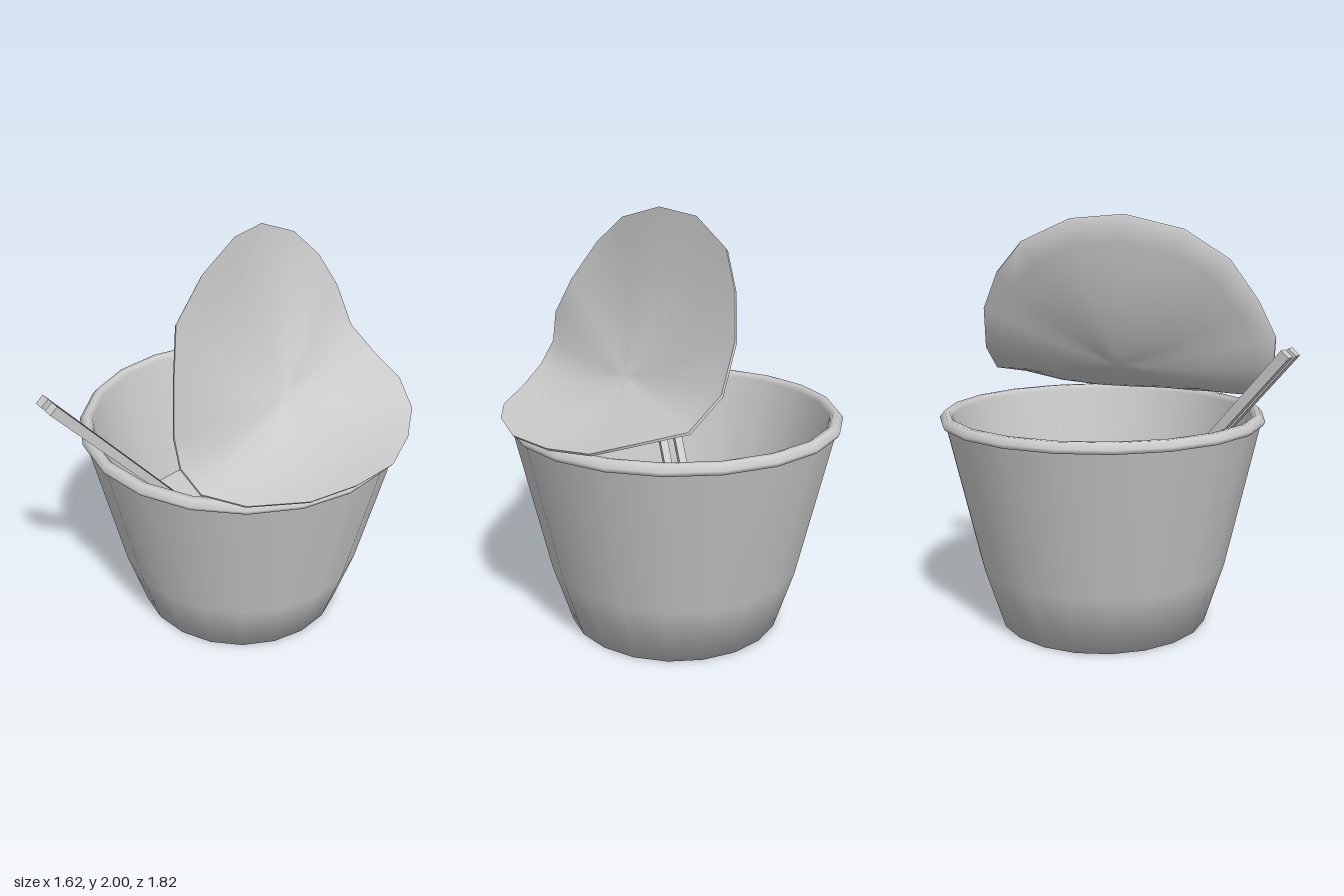
import * as THREE from 'three';
import { toCreasedNormals } from 'three/addons/utils/BufferGeometryUtils.js';

const SIDES = 20;
const FILL_HEIGHT = 0.39;
const material = new THREE.MeshStandardMaterial({ color: 0xcccccc, side: THREE.DoubleSide });
const flatMaterial = new THREE.MeshStandardMaterial({ color: 0xcccccc, flatShading: true });

function addMesh(group, name, geometry, mat = material) {
  const mesh = new THREE.Mesh(geometry, mat);
  mesh.name = name;
  group.add(mesh);
  return mesh;
}

// Tapered cup, smooth all over: base, outer wall, rolled rim, inner wall
function cupGeometry() {
  const profile = [
    [0, 0], [0.52, 0], [0.615, 0.3], [0.775, 1.01],
    [0.788, 1.012], [0.797, 1.032], [0.775, 1.06], [0.75, 1.06], [0.735, 1.035],
    [0.592, FILL_HEIGHT], [0.572, 0.3],
  ].map(([r, y]) => new THREE.Vector2(r, y));
  return new THREE.LatheGeometry(profile, SIDES);
}

// Peeled-back lid: a thin disc bent softly through its centre
function lidGeometry() {
  const edge = [
    [0.81, 1.075, -0.11], [0.775, 1.07, 0.13], [0.655, 1.085, 0.38], [0.545, 1.15, 0.535], [0.47, 1.26, 0.585],
    [0.45, 1.41, 0.6], [0.37, 1.59, 0.54], [0.25, 1.79, 0.44], [0.16, 1.93, 0.24], [0.04, 2, -0.02],
    [-0.07, 1.98, -0.26], [-0.13, 1.87, -0.51], [-0.12, 1.72, -0.67], [-0.09, 1.54, -0.78], [-0.02, 1.33, -0.83],
    [0.13, 1.2, -0.88], [0.33, 1.16, -0.85], [0.51, 1.1, -0.76], [0.66, 1.075, -0.58], [0.78, 1.07, -0.36],
  ].map((p) => new THREE.Vector3(...p));
  const centre = new THREE.Vector3(0.24, 1.25, -0.17);
  const thickness = new THREE.Vector3(-0.008, -0.01, 0);
  const steps = 8;
  const positions = [];
  const index = [];

  const addRow = (t, offset) => {
    for (let k = 0; k < SIDES; k++) {
      const opposite = edge[(k + SIDES / 2) % SIDES];
      const bend = centre.clone().sub(edge[k].clone().add(opposite).multiplyScalar(0.5));
      const p = centre.clone().lerp(edge[k], t).addScaledVector(bend, 0.75 * t * (1 - t));
      positions.push(...p.addScaledVector(thickness, offset).toArray());
    }
  };
  // Upper sheet outwards, then lower sheet back inwards
  for (let i = 0; i <= steps; i++) addRow(i / steps, 0);
  for (let i = steps; i >= 0; i--) addRow(i / steps, 1);

  const rows = 2 * steps + 2;
  for (let i = 0; i < rows - 1; i++) {
    for (let k = 0; k < SIDES; k++) {
      const n = (k + 1) % SIDES;
      const a = i * SIDES + k, b = i * SIDES + n;
      const c = a + SIDES, d = b + SIDES;
      if (i < rows - 2) index.push(a, d, c);
      if (i > 0) index.push(a, b, d);
    }
  }
  const geometry = new THREE.BufferGeometry();
  geometry.setAttribute('position', new THREE.Float32BufferAttribute(positions, 3));
  geometry.setIndex(index);
  return toCreasedNormals(geometry, 1.2);
}

// Square tapered stick between two points
function addStick(group, name, bottom, top) {
  const axis = top.clone().sub(bottom);
  const geometry = new THREE.CylinderGeometry(0.034, 0.025, axis.length(), 4).rotateY(Math.PI / 4);
  const stick = addMesh(group, name, geometry, flatMaterial);
  stick.position.copy(bottom).add(top).multiplyScalar(0.5);
  stick.quaternion.setFromUnitVectors(new THREE.Vector3(0, 1, 0), axis.normalize());
}

export function createModel() {
  const model = new THREE.Group();
  model.name = 'cupWithLidAndChopsticks';

  const cup = new THREE.Group();
  cup.name = 'cup';
  cup.position.set(-0.015, 0, -0.11);
  addMesh(cup, 'cupShell', cupGeometry());
  // Flat surface of the contents, with corners matching the wall's
  const filling = new THREE.CircleGeometry(0.592, SIDES).rotateX(-Math.PI / 2);
  addMesh(cup, 'filling', filling).position.y = FILL_HEIGHT;
  model.add(cup);

  addMesh(model, 'peeledLid', lidGeometry());

  // Pair of chopsticks leaning on the front rim
  const chopsticks = new THREE.Group();
  chopsticks.name = 'chopsticks';
  [-0.127, -0.046].forEach((x, i) => {
    addStick(chopsticks, `chopstick${i + 1}`,
      new THREE.Vector3(x - 0.026, 0.32, -0.04), new THREE.Vector3(x, 1.413, 0.892));
  });
  model.add(chopsticks);
  return model;
}
